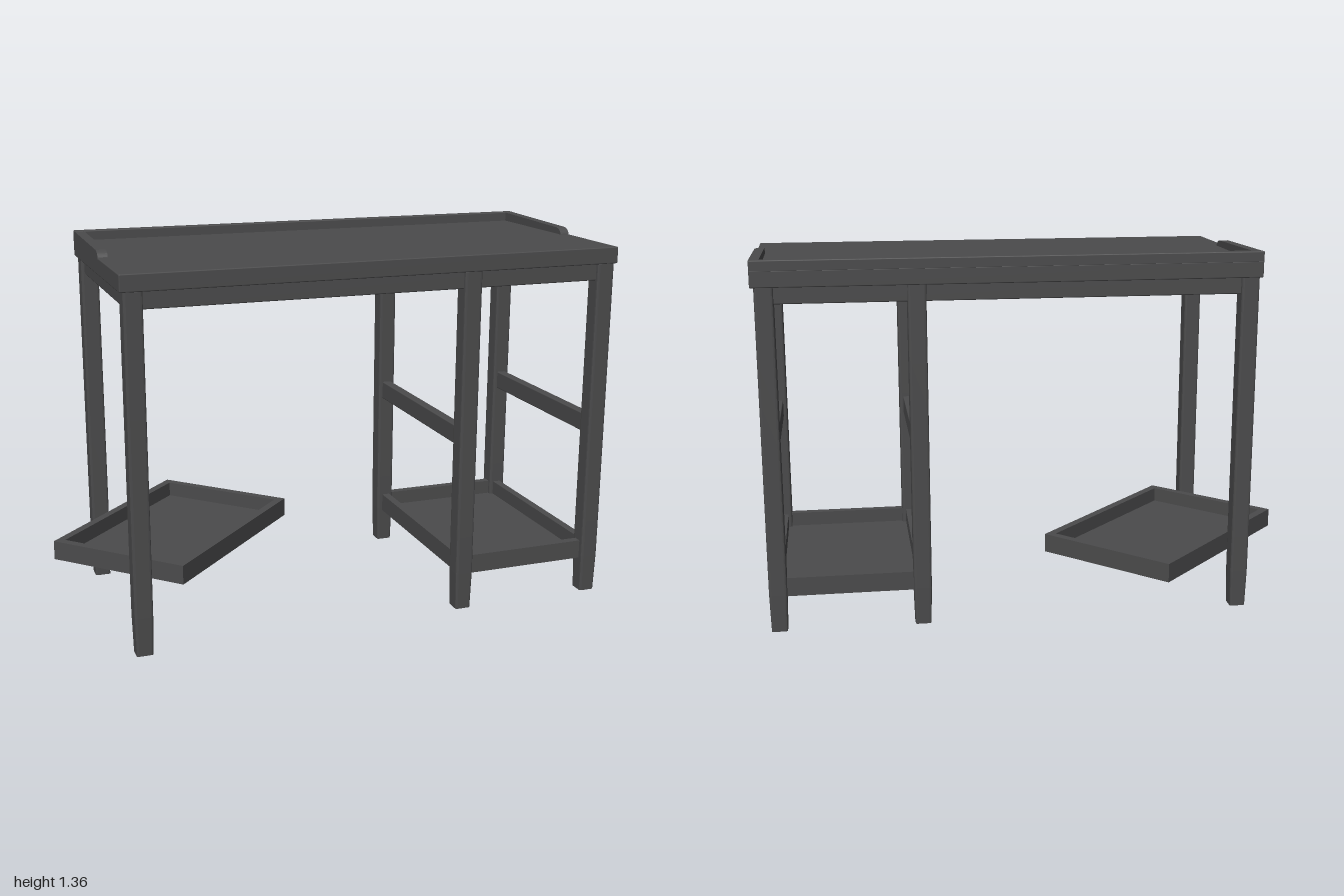
import * as THREE from 'three';
import { RoundedBoxGeometry } from 'three/addons/geometries/RoundedBoxGeometry.js';

export function createModel() {
  const model = new THREE.Group();
  model.name = 'desk';
  const charcoal = new THREE.MeshStandardMaterial({ color: 0x4b4b4c });
  charcoal.name = 'charcoal wood';

  const add = (parent, name, geometry, x, y, z) => {
    const mesh = new THREE.Mesh(geometry, charcoal);
    mesh.name = name;
    mesh.position.set(x, y, z);
    parent.add(mesh);
    return mesh;
  };
  const box = (parent, name, w, h, d, x, y, z) =>
    add(parent, name, new THREE.BoxGeometry(w, h, d), x, y, z);
  const softBox = (parent, name, w, h, d, x, y, z) =>
    add(parent, name, new RoundedBoxGeometry(w, h, d, 2, 0.004), x, y, z);

  const legX = [-0.777, 0.427, 0.953];
  const legZ = [-0.273, 0.493];
  const midZ = 0.11, topY = 1.265, legW = 0.066;

  // Table top
  softBox(model, 'tableTop', 1.82, 0.06, 0.838, 0.089, 1.295, 0.107);

  // Legs: soft-edged square posts, narrowing slightly at the foot
  const h = legW / 2, r = 0.009;
  const section = new THREE.Shape();
  section.moveTo(-h + r, -h);
  section.lineTo(h - r, -h).quadraticCurveTo(h, -h, h, -h + r);
  section.lineTo(h, h - r).quadraticCurveTo(h, h, h - r, h);
  section.lineTo(-h + r, h).quadraticCurveTo(-h, h, -h, h - r);
  section.lineTo(-h, -h + r).quadraticCurveTo(-h, -h, -h + r, -h);
  const legGeometry = new THREE.ExtrudeGeometry(section, {
    depth: topY, steps: 9, curveSegments: 3, bevelEnabled: false,
  });
  legGeometry.rotateX(-Math.PI / 2);
  const p = legGeometry.attributes.position;
  for (let i = 0; i < p.count; i++) {
    const s = 1 - 0.12 * Math.max(0, 1 - p.getY(i) / 0.15);
    p.setX(i, p.getX(i) * s);
    p.setZ(i, p.getZ(i) * s);
  }
  legGeometry.computeVertexNormals();
  for (const x of legX) for (const z of legZ) add(model, 'leg', legGeometry, x, 0, z);

  // Apron under the top
  const span = legX[2] - legX[0], centre = (legX[2] + legX[0]) / 2;
  for (const z of legZ) softBox(model, 'longApron', span, 0.065, 0.04, centre, 1.2375, z);
  for (const x of [legX[0], legX[2]])
    softBox(model, 'sideApron', 0.04, 0.065, 0.766, x, 1.2375, midZ);

  // Side stretchers of the shelf bay
  for (const x of legX.slice(1)) softBox(model, 'stretcher', 0.036, 0.07, 0.74, x, 0.655, midZ);

  // Raised rim: back rail and two side rails with rounded front ends
  softBox(model, 'backRail', 1.82, 0.04, 0.033, 0.089, 1.34, -0.2955);
  const rim = new THREE.Shape();
  rim.moveTo(-0.175, 1.32);
  rim.quadraticCurveTo(-0.172, 1.345, -0.14, 1.349);
  rim.lineTo(0.31, 1.359);
  rim.lineTo(0.31, 1.32);
  const rimGeometry = new THREE.ExtrudeGeometry(rim, {
    depth: 0.035, bevelEnabled: false, curveSegments: 6,
  });
  rimGeometry.rotateY(Math.PI / 2);
  add(model, 'sideRail', rimGeometry, -0.821, 0, 0);
  add(model, 'sideRail', rimGeometry, 0.964, 0, 0);

  // Open trays: a floor with four walls
  const makeTray = (name, x, y, z, angle) => {
    const tray = new THREE.Group();
    const w = 0.55, d = 0.79, t = 0.03, high = 0.07;
    box(tray, 'trayFloor', w - 2 * t, 0.015, d - 2 * t, 0, 0.0075, 0);
    for (const s of [-1, 1]) {
      box(tray, 'trayEnd', w, high, t, 0, high / 2, s * (d - t) / 2);
      box(tray, 'traySide', t, high, d - 2 * t, s * (w - t) / 2, high / 2, 0);
    }
    tray.name = name;
    tray.position.set(x, y, z);
    tray.rotation.y = angle;
    model.add(tray);
  };
  makeTray('lowerShelf', 0.69, 0.13, midZ, 0);
  makeTray('looseTray', -0.5275, 0.2, -0.054, -Math.PI / 4);

  return model;
}
